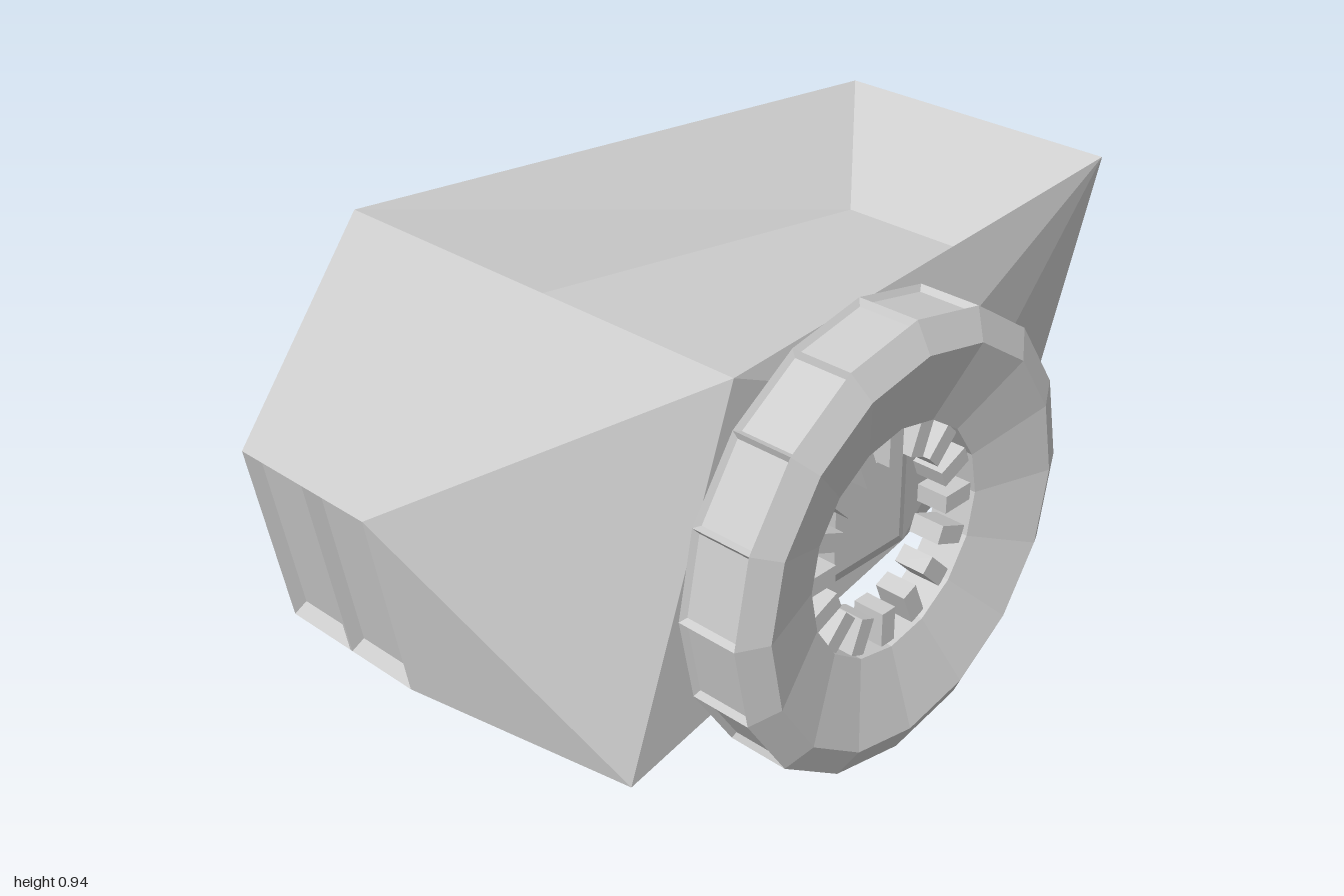
import * as THREE from 'three';

const grey = new THREE.MeshStandardMaterial({ color: 0xcccccc, flatShading: true });
grey.name = 'plain grey';

const vec = (p) => new THREE.Vector3(...p);

// Collects flat polygons into one mesh
class Facets {
  constructor() { this.data = []; }
  face(pts) {
    for (let i = 1; i < pts.length - 1; i++) this.data.push(...pts[0], ...pts[i], ...pts[i + 1]);
  }
  // turns the polygon away from a point (sign 1) or towards it (sign -1)
  facing(pts, from, sign = 1) {
    const [a, b, c] = pts.map(vec);
    const n = b.clone().sub(a).cross(c.clone().sub(a));
    const out = n.dot(a.sub(vec(from))) * sign > 0;
    this.face(out ? pts : [...pts].reverse());
  }
  // sunken panel with sloping edges; corners run anticlockwise
  inset(corners, marginU, marginV, depth) {
    const q = corners.map(vec);
    const n = q[1].clone().sub(q[0]).cross(q[3].clone().sub(q[0])).normalize();
    const u = q[1].clone().sub(q[0]).normalize().multiplyScalar(marginU);
    const v = q[3].clone().sub(q[0]).normalize().multiplyScalar(marginV);
    const su = [1, -1, -1, 1], sv = [1, 1, -1, -1];
    const inner = q.map((p, i) => p.clone().addScaledVector(u, su[i])
      .addScaledVector(v, sv[i]).addScaledVector(n, -depth).toArray());
    this.face(inner);
    for (let i = 0; i < 4; i++) {
      const j = (i + 1) % 4;
      this.face([corners[i], corners[j], inner[j], inner[i]]);
    }
  }
  mesh(name) {
    const g = new THREE.BufferGeometry();
    g.setAttribute('position', new THREE.Float32BufferAttribute(this.data, 3));
    g.computeVertexNormals();
    const m = new THREE.Mesh(g, grey);
    m.name = name;
    return m;
  }
}

const CX = -0.08; // the body's own middle
const at = (s, [h, y, z]) => [CX + s * h, y, z];
const span = (p, q) => [at(-1, p), at(1, p), at(1, q), at(-1, q)];

// Body corners as [half width, y, z]
const topFront = [0.53, 0.865, 0.45], lowFront = [0.53, 0.125, 0.72];
const noseTop = [0.175, 0.67, 1], noseLow = [0.175, 0.278, 0.93];
const topBack = [0.3575, 0.82, -0.93], lowBack = [0.3575, 0.31, -0.73];
const tailTop = [0.1775, 0.62, -1], tailLow = [0.1775, 0.51, -1];
const hubTop = [0.53, 0.64, -0.05], hubLow = [0.53, 0.3, -0.05];
const floorFront = [0.308, 0.65, 0.2], floorBack = [0.153, 0.62, -0.68];

function buildHull() {
  const f = new Facets(), mid = [CX, 0.48, 0];
  // faces that cross the middle
  for (const [p, q] of [[topFront, noseTop], [noseLow, lowFront], [lowFront, lowBack],
    [lowBack, tailLow], [tailLow, tailTop], [tailTop, topBack]]) f.facing(span(p, q), mid);
  // mirrored side faces
  for (const s of [-1, 1]) {
    for (const poly of [
      [topFront, lowFront, noseLow, noseTop],
      [topFront, hubTop, hubLow, lowFront],
      [topFront, topBack, hubTop],
      [hubTop, topBack, lowBack, hubLow],
      [hubLow, lowBack, lowFront],
      [topBack, tailTop, tailLow, lowBack],
    ]) f.facing(poly.map((p) => at(s, p)), mid);
  }
  return f.mesh('hull');
}

function buildCavity() {
  const f = new Facets(), above = [CX, 0.84, -0.25];
  f.facing(span(floorFront, floorBack), above, -1);
  f.facing(span(topFront, floorFront), above, -1);
  f.facing(span(topBack, floorBack), above, -1);
  for (const s of [-1, 1]) {
    f.facing([topFront, floorFront, floorBack, topBack].map((p) => at(s, p)), above, -1);
  }
  return f.mesh('openHold');
}

// Two sunken panes with a thin bar between them
function buildNosePanels() {
  const f = new Facets(), bar = 0.003;
  const quad = (a, b) => [[CX + a, 0.278, 0.93], [CX + b, 0.278, 0.93], [CX + b, 0.67, 1], [CX + a, 0.67, 1]];
  f.inset(quad(-0.175, -bar), 0.011, 0.02, 0.025);
  f.inset(quad(bar, 0.175), 0.011, 0.02, 0.025);
  f.face(quad(-bar, bar));
  return f.mesh('nosePanels');
}

// Tapered block on each flank
function buildHub(s) {
  const f = new Facets(), mid = [CX, 0.47, 0.12];
  const ring = (h, y0, y1, z0, z1) => [[h, y0, z0], [h, y0, z1], [h, y1, z1], [h, y1, z0]].map((p) => at(s, p));
  const base = ring(0.53, 0.3, 0.64, -0.05, 0.29);
  const tip = ring(0.582, 0.37, 0.57, 0.03, 0.225);
  f.facing(tip, mid);
  for (let i = 0; i < 4; i++) {
    const j = (i + 1) % 4;
    f.facing([base[i], base[j], tip[j], tip[i]], mid);
  }
  return f.mesh(s < 0 ? 'rightHub' : 'leftHub');
}

function buildWheel() {
  const wheel = new THREE.Group();
  wheel.name = 'wheel';
  const N = 16, cy = 0.469, cz = 0.17, f = new Facets();
  const w = ([x, r], a) => [x, cy + r * Math.cos(a), cz + r * Math.sin(a)];
  // cross-section [x, radius]; its first edge is the tread
  const profile = [[0.495, 0.468], [0.628, 0.468], [0.66, 0.408], [0.605, 0.24], [0.515, 0.24], [0.46, 0.408]];
  for (let i = 0; i < N; i++) {
    const a0 = (i / N) * Math.PI * 2, a1 = ((i + 1) / N) * Math.PI * 2;
    profile.forEach((p, k) => {
      const q = profile[(k + 1) % profile.length];
      const quad = [w(p, a1), w(q, a1), w(q, a0), w(p, a0)];
      if (k === 0) f.inset(quad, 0.008, 0.01, 0.012);
      else f.face(quad);
    });
  }
  wheel.add(f.mesh('tyre'));
  // short teeth pointing into the hole
  const toothShape = new THREE.BoxGeometry(0.07, 0.075, 0.038);
  for (let i = 0; i < N; i++) {
    const a = (i / N) * Math.PI * 2;
    const tooth = new THREE.Mesh(toothShape, grey);
    tooth.name = 'wheelTooth';
    tooth.position.set(...w([0.56, 0.2], a));
    tooth.rotation.x = a;
    wheel.add(tooth);
  }
  return wheel;
}

export function createModel() {
  const model = new THREE.Group();
  model.name = 'openVehicleBody';
  model.add(buildHull(), buildCavity(), buildNosePanels(), buildHub(-1), buildHub(1), buildWheel());
  return model;
}
